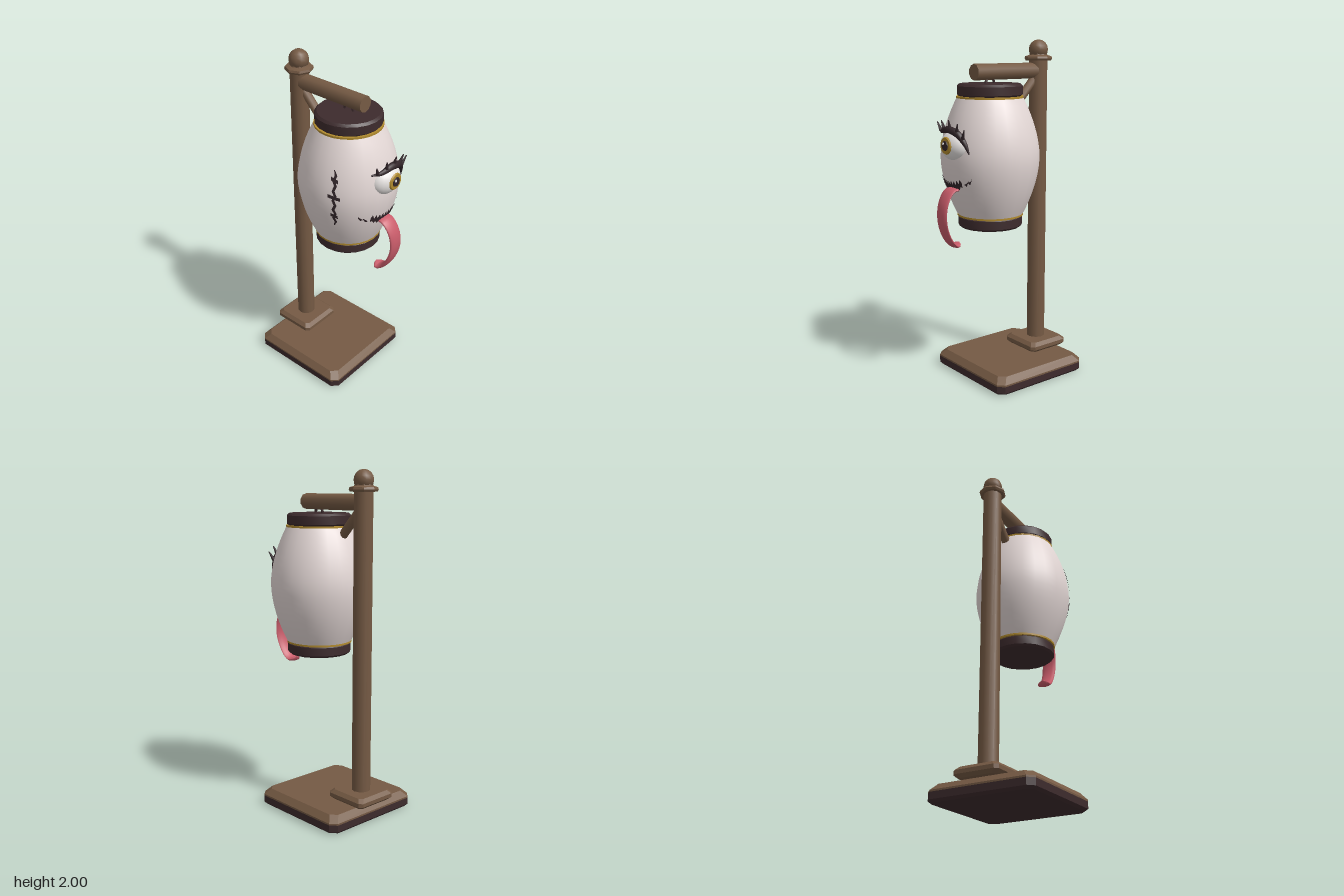
import * as THREE from 'three';
import { toCreasedNormals } from 'three/addons/utils/BufferGeometryUtils.js';

const mat = (name, color, side = THREE.FrontSide) => {
  const m = new THREE.MeshStandardMaterial({ color, side });
  m.name = name;
  return m;
};
const V = (x, y, z) => new THREE.Vector3(x, y, z);

const LZ = 0.067;   // lantern axis
const PZ = -0.295;  // post axis
const bodyRadius = (y) => 0.287 - 0.097 * Math.pow(Math.abs(y - 1.34) / 0.34, 1.8);

// Point on the lantern skin at angle u from the front, lifted by off
function onBody(u, y, off = 0.005) {
  const r = bodyRadius(y) + off;
  return [r * Math.sin(u), y, LZ + r * Math.cos(u)];
}

// Slab with cut corners; levels are [y, inset] from bottom to top
function slab(w, d, cut, levels) {
  const rings = levels.map(([y, inset]) => {
    const x = w / 2 - inset, z = d / 2 - inset;
    return [[x, z - cut], [x, cut - z], [x - cut, -z], [cut - x, -z],
      [-x, cut - z], [-x, z - cut], [cut - x, z], [x - cut, z]].map(([a, b]) => [a, y, b]);
  });
  const pos = [];
  const tri = (...pts) => pts.forEach((p) => pos.push(...p));
  for (let k = 0; k + 1 < rings.length; k++) {
    for (let i = 0; i < 8; i++) {
      const j = (i + 1) % 8, lo = rings[k], up = rings[k + 1];
      tri(lo[i], lo[j], up[j]);
      tri(lo[i], up[j], up[i]);
    }
  }
  const top = rings[rings.length - 1], bottom = rings[0];
  for (let i = 1; i < 7; i++) {
    tri(top[0], top[i], top[i + 1]);
    tri(bottom[0], bottom[i + 1], bottom[i]);
  }
  const g = new THREE.BufferGeometry();
  g.setAttribute('position', new THREE.Float32BufferAttribute(pos, 3));
  g.computeVertexNormals();
  return g;
}

// Tube whose cross-section follows size(t) = [x, y, z] half extents
function taperTube(points, size, segs = 24, sides = 10) {
  const curve = new THREE.CatmullRomCurve3(points);
  const g = new THREE.TubeGeometry(curve, segs, 1, sides);
  const p = g.attributes.position;
  for (let i = 0; i <= segs; i++) {
    const c = curve.getPointAt(i / segs), s = size(i / segs);
    for (let j = 0; j <= sides; j++) {
      const k = i * (sides + 1) + j;
      p.setXYZ(k, c.x + (p.getX(k) - c.x) * s[0], c.y + (p.getY(k) - c.y) * s[1],
        c.z + (p.getZ(k) - c.z) * s[2]);
    }
  }
  g.computeVertexNormals();
  return g;
}

// Painted strip wrapped on the lantern; rows are pairs of [angle, y]
function skinStrip(rows) {
  const pos = [], idx = [];
  rows.forEach(([a, b], i) => {
    pos.push(...onBody(...a), ...onBody(...b));
    if (i) idx.push(2 * i - 2, 2 * i - 1, 2 * i, 2 * i, 2 * i - 1, 2 * i + 1);
  });
  const g = new THREE.BufferGeometry();
  g.setAttribute('position', new THREE.Float32BufferAttribute(pos, 3));
  g.setIndex(idx);
  g.computeVertexNormals();
  return g;
}

const lathe = (pts, sides, crease = 0.6) => toCreasedNormals(
  new THREE.LatheGeometry(pts.map(([r, y]) => new THREE.Vector2(r, y)), sides), crease);

// Cylinder between two points
function rod(a, b, r0, r1, sides) {
  const dir = b.clone().sub(a);
  const g = new THREE.CylinderGeometry(r1, r0, dir.length(), sides);
  g.applyQuaternion(new THREE.Quaternion().setFromUnitVectors(V(0, 1, 0), dir.clone().normalize()));
  g.translate((a.x + b.x) / 2, (a.y + b.y) / 2, (a.z + b.z) / 2);
  return g;
}

export function createModel() {
  const model = new THREE.Group();
  const wood = mat('brown wood', 0x755a44);
  const dark = mat('dark wood', 0x3d2b2d);
  const paper = mat('pale paper', 0xe4d8d6);
  const gold = mat('gold', 0xb08a2e);
  const white = mat('eye white', 0xeae6e4);
  const ink = mat('ink', 0x33262a, THREE.DoubleSide);
  const pink = mat('tongue pink', 0xc95c6a);
  const add = (name, geo, material, x = 0, y = 0, z = 0, parent = model) => {
    const m = new THREE.Mesh(geo, material);
    m.name = name;
    m.position.set(x, y, z);
    parent.add(m);
    return m;
  };

  // Stand
  add('baseUnderside', slab(0.65, 0.65, 0.035, [[0, 0.015], [0.015, 0], [0.055, 0]]), dark, 0, 0, -0.08);
  add('baseTop', slab(0.65, 0.65, 0.035, [[0.055, 0], [0.065, 0], [0.1, 0.032]]), wood, 0, 0, -0.08);
  add('plinth', slab(0.275, 0.275, 0.02, [[0.1, 0.02], [0.118, 0], [0.14, 0], [0.16, 0.02]]), wood, 0, 0, -0.293);
  add('post', new THREE.CylinderGeometry(0.055, 0.056, 1.74, 12), wood, 0, 1.02, PZ);
  add('postCollar', lathe([[0, 1.878], [0.075, 1.878], [0.082, 1.89], [0.078, 1.902], [0.053, 1.91], [0.048, 1.93]], 8), wood, 0, 0, PZ);
  add('finial', new THREE.SphereGeometry(0.058, 12, 8), wood, 0, 1.942, PZ);
  add('arm', rod(V(0, 1.82, PZ), V(0, 1.82, 0.18), 0.046, 0.046, 10), wood);
  add('brace', rod(V(0, 1.79, -0.28), V(0, 1.61, -0.11), 0.026, 0.026, 10), wood);

  // Lantern
  const lantern = new THREE.Group();
  lantern.name = 'lantern';
  model.add(lantern);
  const profile = [];
  for (let i = 0; i <= 16; i++) {
    const y = 1 + 0.68 * i / 16;
    profile.push([bodyRadius(y), y]);
  }
  add('paperBody', lathe(profile, 24, 1), paper, 0, 0, LZ, lantern);
  const lid = (y) => lathe([[0, y], [0.175, y], [0.188, y + 0.012], [0.188, y + 0.06], [0.175, y + 0.073], [0, y + 0.073]], 20);
  add('upperLid', lid(1.682), dark, 0, 0, LZ, lantern);
  add('lowerLid', lid(0.928), dark, 0, 0, LZ, lantern);
  for (const y of [1.68, 1.0]) {
    add('goldTrim', new THREE.CylinderGeometry(0.193, 0.193, 0.011, 24), gold, 0, y, LZ, lantern);
  }
  add('hangingRing', new THREE.TorusGeometry(0.03, 0.008, 6, 14), dark, 0, 1.757, LZ, lantern).rotation.y = Math.PI / 2;

  // Eye
  const face = new THREE.Group();
  face.name = 'face';
  model.add(face);
  add('eyeball', new THREE.SphereGeometry(1, 24, 16).scale(0.105, 0.088, 0.08), white, 0.01, 1.42, 0.312, face);
  const disc = (name, r, m, x, y, z) => {
    const g = new THREE.CylinderGeometry(r * 0.9, r, 0.008, 16).rotateX(Math.PI / 2);
    add(name, g, m, x, y, z, face);
  };
  disc('iris', 0.05, gold, 0.014, 1.425, 0.387);
  disc('pupil', 0.029, ink, 0.014, 1.425, 0.392);
  disc('eyeGlint', 0.008, white, 0.004, 1.437, 0.396);
  const lidPath = [V(-0.118, 1.495, 0.325), V(-0.07, 1.497, 0.35), V(0.01, 1.513, 0.363),
    V(0.085, 1.49, 0.353), V(0.122, 1.445, 0.337), V(0.145, 1.385, 0.322)];
  add('eyelid', taperTube(lidPath, (t) => {
    const r = 0.004 + 0.017 * Math.sin(Math.PI * t);
    return [r, r, r];
  }), ink, 0, 0, 0, face);
  // Lashes: root x, y, z and tip x, y
  for (const [x, y, z, tx, ty] of [[-0.09, 1.5, 0.345, -0.112, 1.548], [-0.035, 1.515, 0.362, -0.047, 1.562],
    [0.025, 1.52, 0.365, 0.028, 1.568], [0.08, 1.5, 0.358, 0.102, 1.55], [0.115, 1.465, 0.345, 0.147, 1.52]]) {
    add('eyelash', rod(V(x, y, z), V(tx, ty, z + 0.01), 0.012, 0.003, 6), ink, 0, 0, 0, face);
  }

  // Ragged mouth and its torn corners
  const rows = [];
  for (let i = 0; i <= 16; i++) {
    const s = i / 8 - 1, u = -0.05 + s * 0.36, smile = 0.02 * s * s;
    const odd = i % 2;
    rows.push([[u, 1.198 + smile + odd * 0.025], [u, 1.172 + smile - (odd ? 0 : 0.014) + 0.012 * s * s]]);
  }
  add('mouth', skinStrip(rows), ink, 0, 0, 0, face);
  for (const [u, y, d] of [[-0.63, 1.235, 1], [-0.52, 1.218, 1], [0.42, 1.218, -1], [0.5, 1.23, -1]]) {
    add('mouthTear', skinStrip([[[u - 0.05, y + 0.012 * d], [u - 0.05, y + 0.004 * d]],
      [[u, y], [u, y - 0.018]], [[u + 0.05, y - 0.012 * d], [u + 0.05, y - 0.018 * d]]]), ink, 0, 0, 0, face);
  }

  // Tongue
  const tonguePath = [V(0, 1.175, 0.31), V(0, 1.165, 0.355), V(0.004, 1.1, 0.4), V(0.006, 1.01, 0.412),
    V(0.002, 0.92, 0.388), V(-0.004, 0.855, 0.342), V(-0.008, 0.843, 0.312), V(-0.008, 0.862, 0.288)];
  add('tongue', taperTube(tonguePath, (t) => {
    const end = Math.sqrt(Math.max(0, Math.min(1, (1 - t) / 0.06)));
    return [(0.05 - 0.008 * t) * end, 0.013 * end, 0.013 * end];
  }, 36, 12), pink, 0, 0, 0, face);

  // Stitched scar on the right side
  const scar = [];
  for (let i = 0; i <= 12; i++) {
    const y = 1.18 + 0.345 * i / 12, u = -1.14 + (i % 2 ? 0.025 : -0.015);
    const w = i === 0 || i === 12 ? 0.008 : 0.028;
    scar.push([[u - w, y], [u + w, y]]);
  }
  add('scar', skinStrip(scar), ink, 0, 0, 0, lantern);
  for (const y of [1.25, 1.37, 1.47]) {
    const w = y === 1.37 ? 0.12 : 0.07;
    add('scarStitch', skinStrip([-1, -0.5, 0, 0.5, 1].map((s) =>
      [[-1.14 + s * w, y + 0.01 - 0.008 * s], [-1.14 + s * w, y - 0.01 - 0.008 * s]])), ink, 0, 0, 0, lantern);
  }
  return model;
}
